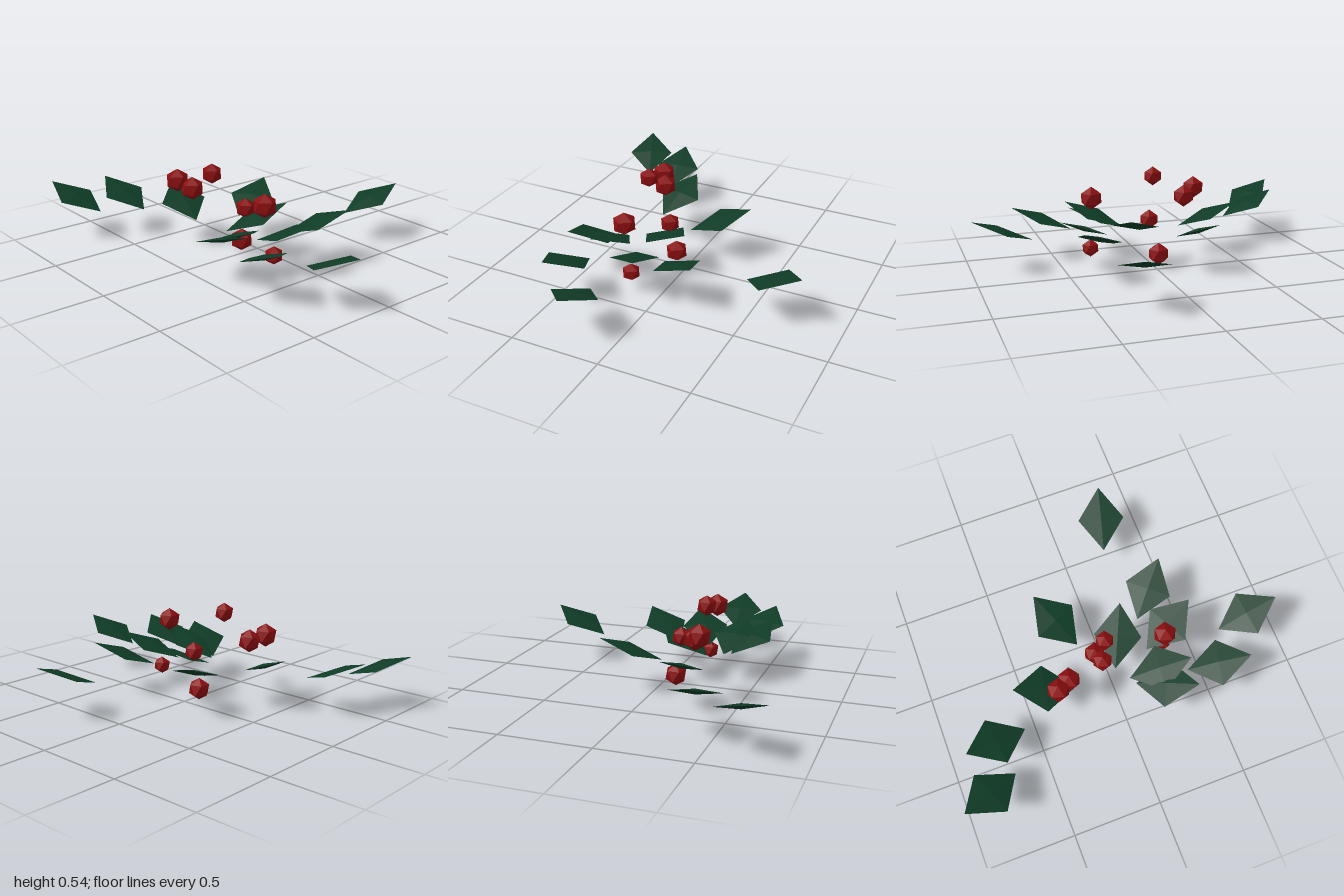
import * as THREE from 'three';

// Centre x, z and the horizontal direction (dx, dz) of the raised tip of each leaf
const LEAVES = [
  [0.272, -0.622, 0.09, -0.33],
  [0.828, 0.222, 0.34, -0.025],
  [-0.843, 0.667, -0.315, 0.135],
  [-0.727, 0.414, -0.342, 0.052],
  [-0.385, 0.23, -0.33, -0.065],
  [-0.195, -0.12, -0.144, -0.31],
  [0.099, 0.088, 0.144, -0.31],
  [0.363, -0.115, 0.226, -0.256],
  [0.385, 0.125, 0.31, -0.15],
  [0.251, 0.347, 0.342, 0.047],
  [0.253, 0.444, 0.306, 0.167],
  [0.567, 0.433, 0.333, 0.08],
];

// Centre x, y, z and radius of each berry
const BERRIES = [
  [-0.328, 0.388, 0.308, 0.066],
  [-0.252, 0.35, 0.262, 0.066],
  [-0.062, 0.481, 0.266, 0.056],
  [0.32, 0.388, 0.216, 0.066],
  [0.016, 0.27, 0.098, 0.056],
  [-0.037, 0.065, 0.084, 0.064],
  [0.341, 0.11, 0.172, 0.051],
];

export function createModel() {
  const model = new THREE.Group();
  const leafGreen = new THREE.MeshStandardMaterial({ color: 0x0f3b26, flatShading: true });
  leafGreen.name = 'leafGreen';
  const berryRed = new THREE.MeshStandardMaterial({ color: 0x8b0e10, flatShading: true });
  berryRed.name = 'berryRed';

  // Leaf: flattened octahedron, long along x, with its +x tip raised
  const leafShape = new THREE.OctahedronGeometry(1).scale(0.183, 0.014, 0.1325).rotateZ(0.375);
  LEAVES.forEach(([x, z, dx, dz], i) => {
    const leaf = new THREE.Mesh(leafShape, leafGreen);
    leaf.name = `leaf${i + 1}`;
    leaf.position.set(x, 0.238, z);
    leaf.rotation.y = Math.atan2(-dz, dx);
    model.add(leaf);
  });

  // Berry: icosahedron standing on one of its corners
  const berryShape = new THREE.IcosahedronGeometry(1, 0).rotateZ(-0.5536);
  BERRIES.forEach(([x, y, z, r], i) => {
    const berry = new THREE.Mesh(berryShape, berryRed);
    berry.name = `berry${i + 1}`;
    berry.position.set(x, y, z);
    berry.scale.setScalar(r);
    model.add(berry);
  });

  return model;
}
